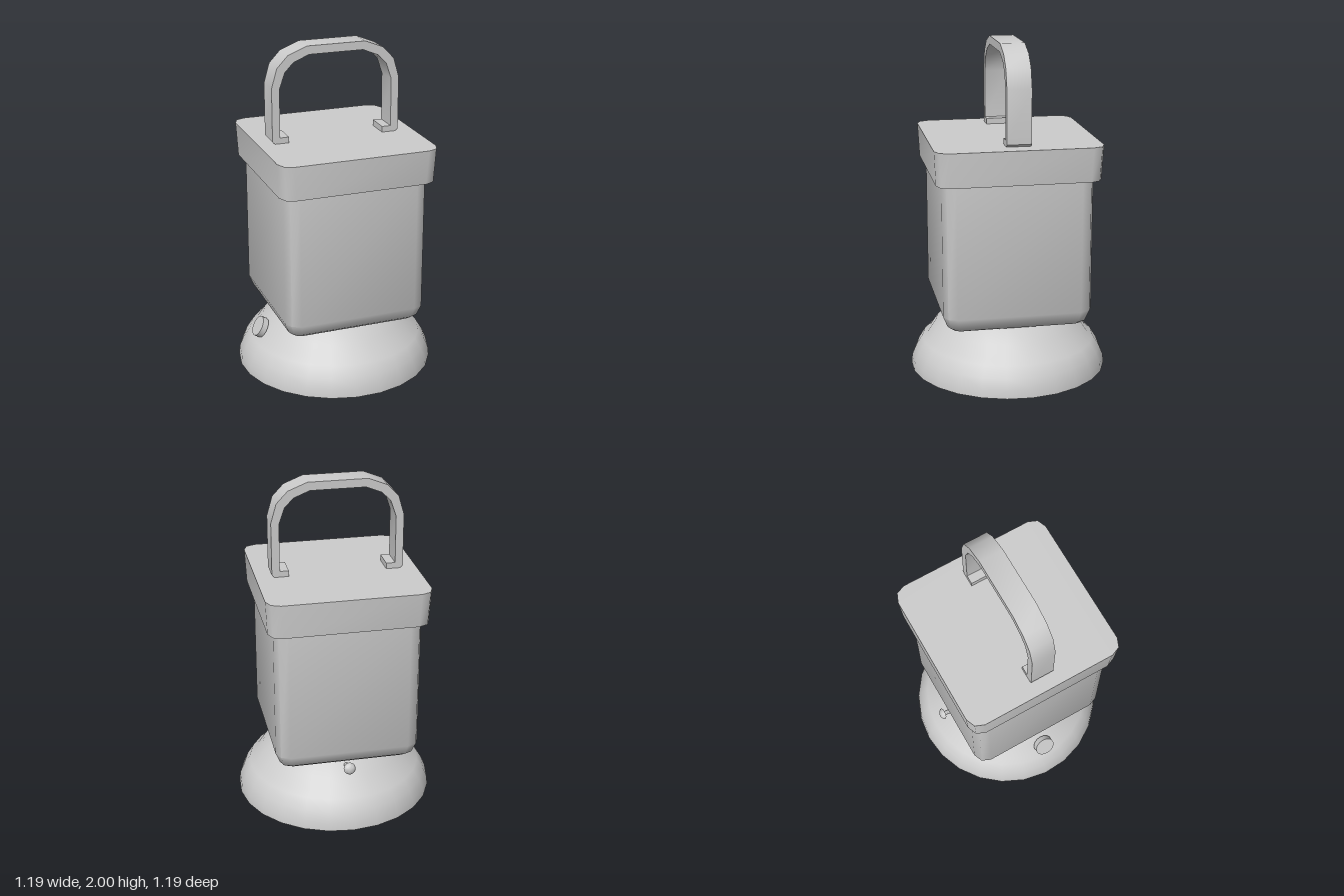
import * as THREE from 'three';
import { toCreasedNormals } from 'three/addons/utils/BufferGeometryUtils.js';

const material = new THREE.MeshStandardMaterial({ color: 0xcccccc, side: THREE.DoubleSide });

function part(name, geometry, crease = 0.85) {
  const mesh = new THREE.Mesh(toCreasedNormals(geometry, crease), material);
  mesh.name = name;
  return mesh;
}

// Rectangle outline whose corners are arcs of two segments
function roundedRing(hx, hz, r, y) {
  const ring = [];
  const corners = [[1, 1], [-1, 1], [-1, -1], [1, -1]];
  corners.forEach(([sx, sz], q) => {
    for (let i = 0; i <= 2; i++) {
      const a = (q + i / 2) * Math.PI / 2;
      ring.push([sx * (hx - r) + r * Math.cos(a), y, sz * (hz - r) + r * Math.sin(a)]);
    }
  });
  return ring;
}

// Closed solid through rings ordered from bottom to top
function loft(rings) {
  const n = rings[0].length, pos = rings.flat(2), index = [];
  for (let k = 0; k < rings.length - 1; k++) {
    for (let i = 0; i < n; i++) {
      const a = k * n + i, b = k * n + (i + 1) % n;
      index.push(a, a + n, b, b, a + n, b + n);
    }
  }
  const top = (rings.length - 1) * n;
  for (let i = 1; i < n - 1; i++) {
    index.push(0, i, i + 1, top, top + i + 1, top + i);
  }
  const g = new THREE.BufferGeometry();
  g.setAttribute('position', new THREE.Float32BufferAttribute(pos, 3));
  g.setIndex(index);
  return g;
}

const lathe = (points, sides, start = 0) =>
  new THREE.LatheGeometry(points.map(p => new THREE.Vector2(...p)), sides, start);

export function createModel() {
  const model = new THREE.Group();

  // Round stepped base
  model.add(part('base', lathe([
    [0, 0], [0.597, 0], [0.592, 0.05], [0.567, 0.11], [0.527, 0.175],
    [0.495, 0.195], [0.443, 0.275], [0.335, 0.35], [0, 0.35],
  ], 25, Math.PI), 0.5));

  // Box-shaped body with a bevelled bottom
  const bodyRings = [[0.35, 0.06], [0.375, 0.026], [0.44, 0], [1.3, 0]]
    .map(([y, inset]) => roundedRing(0.432 - inset, 0.442 - inset, 0.077 - inset * 0.6, y));
  const body = part('body', loft(bodyRings));
  body.position.set(-0.008, 0, 0.004);
  model.add(body);

  // Lid, slightly wider at the top
  const lid = part('lid', loft([
    roundedRing(0.468, 0.479, 0.077, 1.237),
    roundedRing(0.478, 0.489, 0.077, 1.44),
  ]));
  lid.position.set(-0.007, 0, 0.002);
  model.add(lid);

  // Carrying handle: half outline from the foot, over the outside, mirrored
  const outer = [[-0.29, 1.44], [-0.375, 1.44], [-0.39, 1.455], [-0.39, 1.77],
    [-0.357, 1.884], [-0.29, 1.955], [-0.177, 2]];
  const inner = [[-0.163, 1.95], [-0.257, 1.912], [-0.31, 1.857], [-0.343, 1.762],
    [-0.343, 1.475], [-0.29, 1.475]];
  const mirror = list => list.map(([x, y]) => [-x, y]).reverse();
  const outline = [...outer, ...mirror(outer), ...mirror(inner), ...inner];
  const handleGeometry = new THREE.ExtrudeGeometry(
    new THREE.Shape(outline.map(p => new THREE.Vector2(...p))),
    { depth: 0.144, bevelEnabled: false });
  const handle = part('handle', handleGeometry, 0.6);
  handle.position.set(-0.013, 0, -0.07);
  model.add(handle);

  // Round button on the sloping right side of the base
  const button = part('button', new THREE.CylinderGeometry(0.063, 0.063, 0.037, 16));
  button.position.set(-0.482, 0.257, 0.006);
  button.rotation.z = Math.PI / 3;
  model.add(button);

  // Switch at the back: thin stem with a domed head
  const toggle = new THREE.Group();
  toggle.name = 'toggleSwitch';
  const stem = part('switchStem', new THREE.CylinderGeometry(0.014, 0.014, 0.17, 10));
  stem.position.y = -0.075;
  const head = part('switchHead', lathe([
    [0, -0.008], [0.02, -0.008], [0.036, -0.002], [0.036, 0.003], [0.022, 0.016], [0, 0.021],
  ], 12));
  toggle.add(stem, head);
  toggle.position.set(0, 0.35, -0.47);
  toggle.rotation.x = -Math.PI * 0.4;
  model.add(toggle);

  return model;
}
